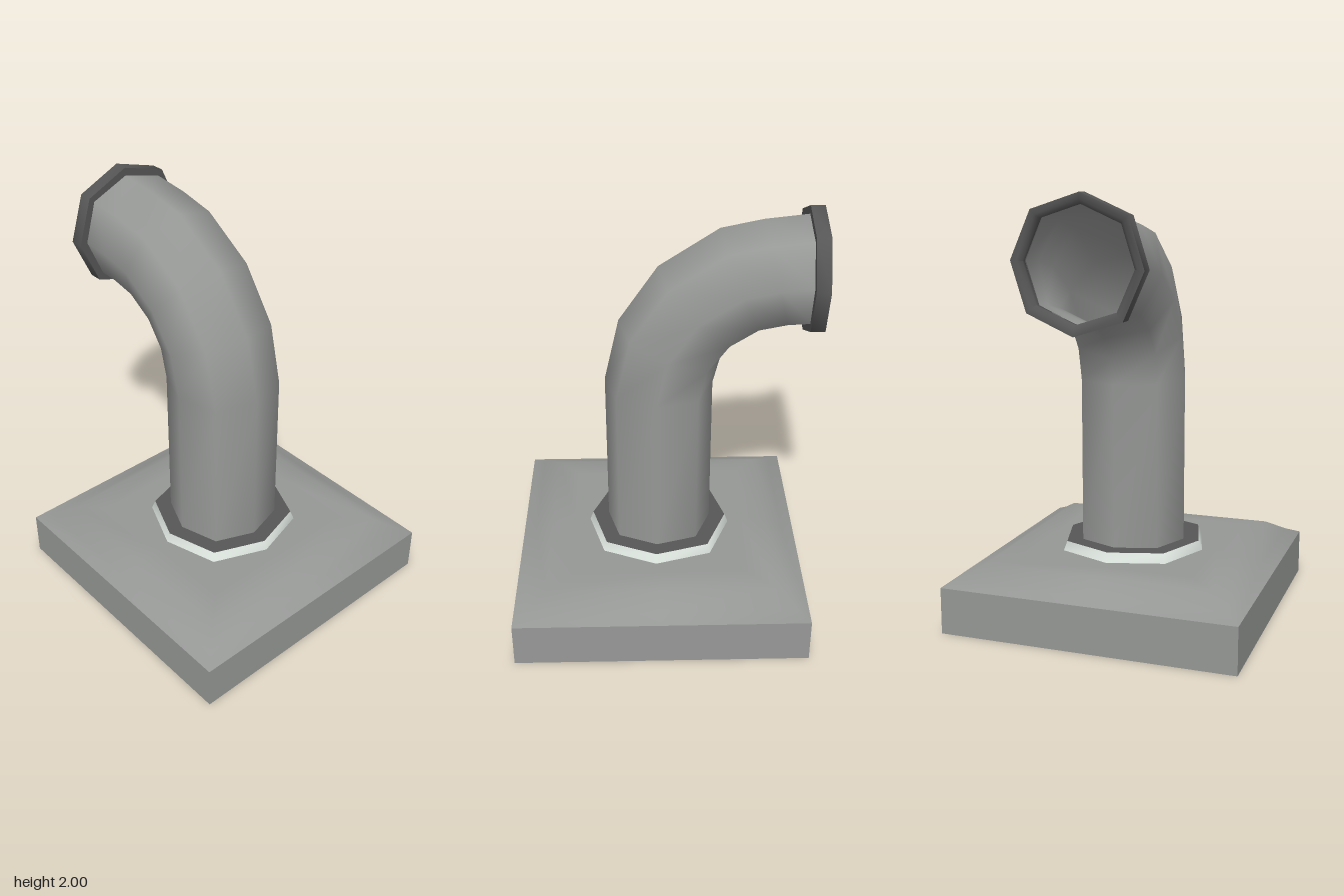
import * as THREE from 'three';
import { toCreasedNormals } from 'three/addons/utils/BufferGeometryUtils.js';

const SIDES = 8;
const TWIST = -0.056; // slight turn of the octagonal parts
const CENTRE_Z = 0.018;
const CREASE = Math.PI / 3;

const paint = (color) => new THREE.MeshStandardMaterial({ color, side: THREE.DoubleSide });

function addMesh(group, name, geometry, material) {
  const mesh = new THREE.Mesh(geometry, material);
  mesh.name = name;
  group.add(mesh);
}

// Unit octagon corner as [across, along]; the diagonal corners bulge a little
function octagon(j, bulge) {
  const a = (j / SIDES) * Math.PI * 2 + TWIST;
  const r = j % 2 ? bulge : 1;
  return [r * Math.sin(a), r * Math.cos(a)];
}

// Skin a stack of eight-point loops; pointAt(ring, j) returns [x, y, z]
function loft(rings, pointAt) {
  const positions = [];
  const index = [];
  rings.forEach((ring, i) => {
    for (let j = 0; j < SIDES; j++) {
      positions.push(...pointAt(ring, j));
      if (i === rings.length - 1) continue;
      const a = i * SIDES + j;
      const b = i * SIDES + ((j + 1) % SIDES);
      index.push(a, b, b + SIDES, a, b + SIDES, a + SIDES);
    }
  });
  const geometry = new THREE.BufferGeometry();
  geometry.setAttribute('position', new THREE.Float32BufferAttribute(positions, 3));
  geometry.setIndex(index);
  geometry.computeVertexNormals();
  return geometry;
}

export function createModel() {
  const model = new THREE.Group();
  model.name = 'ventPipe';
  const grey = paint(0x969896);
  const darkGrey = paint(0x565656);
  const paleGrey = paint(0xe0e8e2);

  // Point of an upright octagonal ring given as [radius, height]
  const uprightRing = ([r, y], j) => {
    const [u, v] = octagon(j, 1.045);
    return [r * u, y, CENTRE_Z + r * v];
  };

  // Hollow square base: walls, two-step slope, flat top with octagonal opening
  const baseRings = [
    { y: 0, half: 0.7 }, { y: 0.22, half: 0.7 }, { y: 0.25, half: 0.635 },
    { y: 0.305, half: 0.545 }, { y: 0.305, half: 0.42 }, { y: 0.305, radius: 0.354 },
  ];
  const base = loft(baseRings, ({ y, half, radius }, j) => {
    if (radius) return uprightRing([radius, y], j);
    const a = (j / SIDES) * Math.PI * 2;
    const r = half / Math.max(Math.abs(Math.sin(a)), Math.abs(Math.cos(a)));
    return [r * Math.sin(a), y, CENTRE_Z + r * Math.cos(a)];
  });
  addMesh(model, 'base', toCreasedNormals(base, CREASE), grey);

  // Collar around the foot of the pipe: pale bevel, dark top
  addMesh(model, 'collarBevel', loft([[0.354, 0.305], [0.337, 0.35]], uprightRing), paleGrey);
  addMesh(model, 'collarTop', loft([[0.337, 0.35], [0.257, 0.35]], uprightRing), darkGrey);

  // Bent pipe: each ring spans an outer and an inner [z, y] point of the bend
  const pipeRings = [
    [[0.275, 0.345], [-0.239, 0.345]],
    [[0.275, 1.142], [-0.239, 1.132]],
    [[0.204, 1.452], [-0.27, 1.258]],
    [[0.02, 1.72], [-0.345, 1.36]],
    [[-0.257, 1.9], [-0.455, 1.428]],
    [[-0.45, 1.94], [-0.57, 1.45]],
    [[-0.66, 1.963], [-0.66, 1.452]],
  ];
  const pipe = loft(pipeRings, ([outer, inner], j) => {
    const [u, v] = octagon(j, 1.045);
    const t = (1 + v) / 2;
    return [
      0.259 * u,
      THREE.MathUtils.lerp(inner[1], outer[1], t),
      THREE.MathUtils.lerp(inner[0], outer[0], t),
    ];
  });
  addMesh(model, 'pipe', pipe, grey);

  // Rim around the open mouth, as [radius, z], with a chamfered inner lip
  const rimRings = [
    [0.255, -0.651], [0.297, -0.651], [0.297, -0.717],
    [0.268, -0.717], [0.248, -0.695], [0.255, -0.66],
  ];
  const rim = loft(rimRings, ([r, z], j) => {
    const [u, v] = octagon(j, 1.025);
    return [r * u, 1.704 + r * v, z];
  });
  addMesh(model, 'mouthRim', toCreasedNormals(rim, CREASE), darkGrey);

  return model;
}
